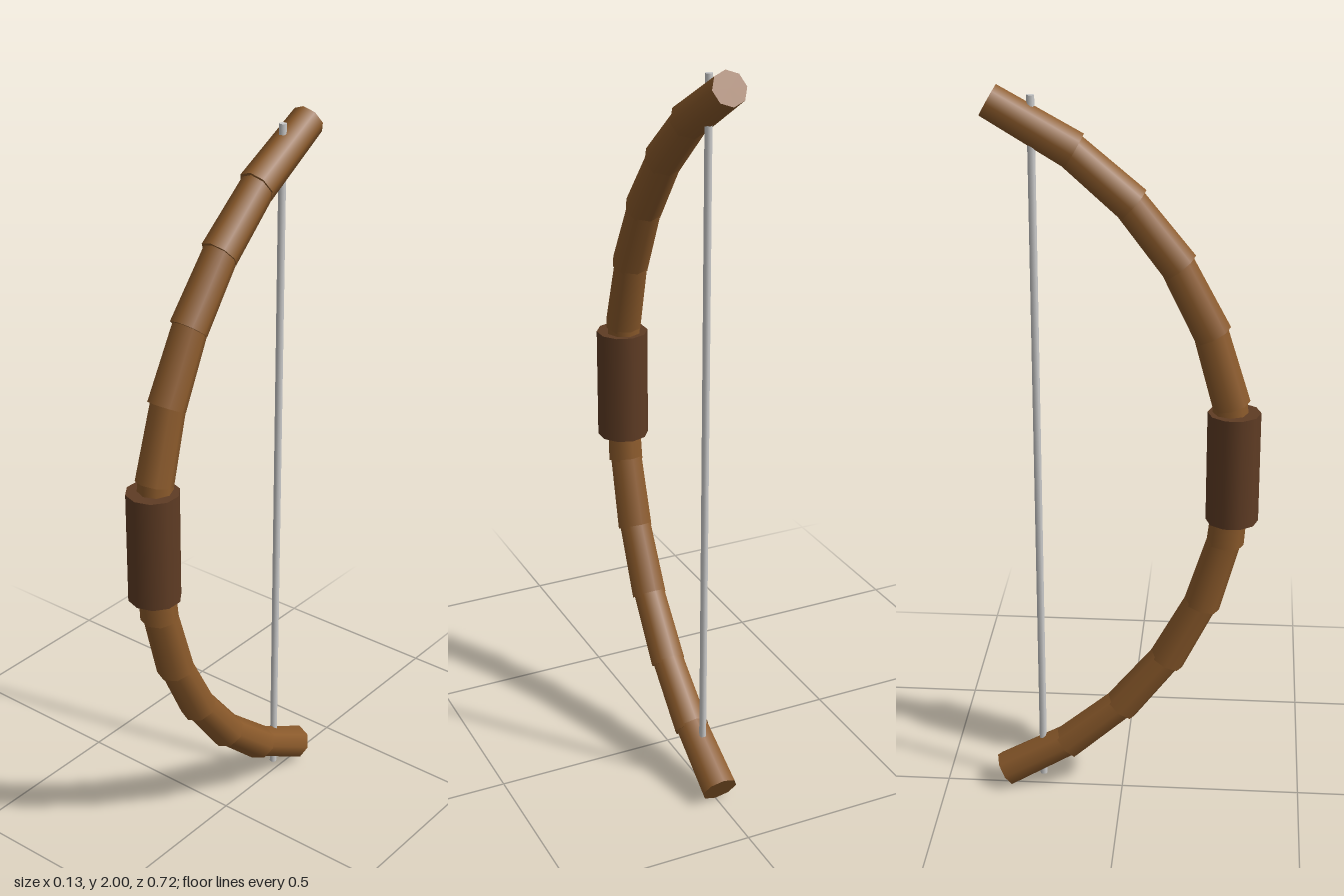
import * as THREE from 'three';

const MID_Y = 1.004;     // height of the bow's middle
const ARC_RADIUS = 1.035;
const ARC_Z = -0.742;    // centre of the arc
const HALF_ANGLE = Math.PI / 3;
const SEGMENTS = 12;

export function createModel() {
  const bow = new THREE.Group();
  bow.name = 'bow';

  const wood = new THREE.MeshStandardMaterial({ color: 0x8b5a2b });
  wood.name = 'wood';
  const leather = new THREE.MeshStandardMaterial({ color: 0x5f3c24 });
  leather.name = 'darkGrip';
  const cord = new THREE.MeshStandardMaterial({ color: 0xcccccc });
  cord.name = 'paleCord';

  const add = (name, geometry, material, y, z, parent = bow) => {
    const mesh = new THREE.Mesh(geometry, material);
    mesh.name = name;
    mesh.position.set(0, y, z);
    parent.add(mesh);
    return mesh;
  };

  // Curved limbs: overlapping tapered segments, each tangent to the arc
  const limbs = new THREE.Group();
  limbs.name = 'limbs';
  bow.add(limbs);
  const segmentGeometry = new THREE.CylinderGeometry(0.045, 0.05, 0.245, 8);
  for (let i = 0; i < SEGMENTS; i++) {
    const angle = HALF_ANGLE * (2 * i / (SEGMENTS - 1) - 1);
    const y = MID_Y + ARC_RADIUS * Math.sin(angle);
    const z = ARC_Z + ARC_RADIUS * Math.cos(angle);
    add('limbSegment' + (i + 1), segmentGeometry, wood, y, z, limbs).rotation.x = -angle;
  }

  // Grip around the middle of the bow
  add('grip', new THREE.CylinderGeometry(0.07, 0.07, 0.306, 10), leather, MID_Y + 0.002, ARC_Z + ARC_RADIUS);

  // Straight string between the limb tips
  add('string', new THREE.CylinderGeometry(0.01, 0.01, 1.938, 8), cord, MID_Y + 0.003, ARC_Z + ARC_RADIUS * Math.cos(HALF_ANGLE));

  return bow;
}
